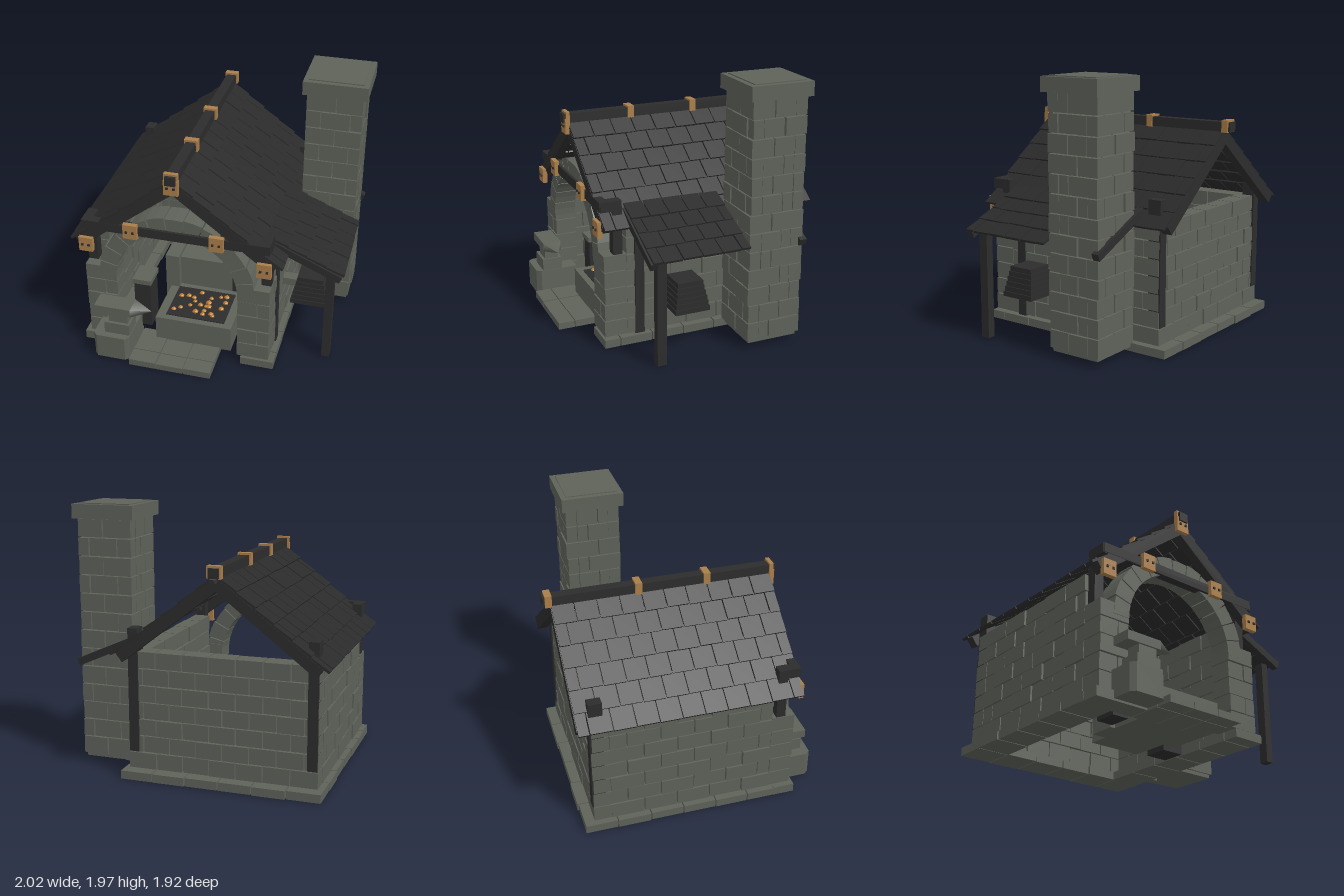
import * as THREE from 'three';
import { mergeGeometries } from 'three/addons/utils/BufferGeometryUtils.js';

const material = (name, color) => {
  const m = new THREE.MeshStandardMaterial({ color });
  m.name = name;
  return m;
};

export function createModel() {
  const root = new THREE.Group();
  root.name = 'smithy';
  const stone = material('grey stone', 0x5e6259);
  const wood = material('dark timber', 0x2c2c2c);
  const slate = material('black shingle', 0x2a2a2b);
  const bronze = material('bronze', 0xaa7e4a);
  const ember = material('ember', 0xb8792f);
  let seed = 7;
  const rand = () => (seed = (seed * 16807) % 2147483647) / 2147483647;

  const add = (name, geo, mat, parent = root) => {
    const m = new THREE.Mesh(geo, mat);
    m.name = name;
    parent.add(m);
    return m;
  };
  // Box geometry from its extents
  const ext = (x0, x1, y0, y1, z0, z1) =>
    new THREE.BoxGeometry(x1 - x0, y1 - y0, z1 - z0).translate((x0 + x1) / 2, (y0 + y1) / 2, (z0 + z1) / 2);
  const box = (name, mat, ...e) => add(name, ext(...e), mat);
  // Square beam between two points in the xy plane
  const beam = (name, x0, y0, x1, y1, h, z0, z1, mat = wood) => {
    const g = new THREE.BoxGeometry(Math.hypot(x1 - x0, y1 - y0), h, z1 - z0);
    g.rotateZ(Math.atan2(y1 - y0, x1 - x0)).translate((x0 + x1) / 2, (y0 + y1) / 2, (z0 + z1) / 2);
    return add(name, g, mat);
  };
  // Coursed brick wall filling a box; alongZ chooses the running direction
  const bricks = (name, x0, x1, y0, y1, z0, z1, rows, len, alongZ) => {
    const parts = [], gap = 0.004, h = (y1 - y0) / rows;
    const [a, b] = alongZ ? [z0, z1] : [x0, x1];
    for (let r = 0; r < rows; r++) {
      let s = a, e = a + (r % 2 ? len / 2 : len);
      while (s < b - 0.01) {
        if (e > b - len * 0.25) e = b;
        const ya = y0 + r * h + gap, yb = y0 + (r + 1) * h - gap, j = (rand() - 0.5) * 0.012;
        const p = s === a ? s : s + gap, q = e === b ? e : e - gap;
        parts.push(alongZ ? ext(x0 - j, x1 + j, ya, yb, p, q) : ext(p, q, ya, yb, z0 - j, z1 + j));
        s = e;
        e += len;
      }
    }
    return add(name, mergeGeometries(parts), stone);
  };

  // Plinth and walls
  bricks('plinthBack', -0.95, 0.54, 0, 0.07, -0.88, -0.63, 1, 0.25, false);
  bricks('plinthLeft', 0.29, 0.54, 0, 0.07, -0.63, 0.74, 1, 0.25, true);
  bricks('plinthRight', -0.95, -0.7, 0, 0.07, -0.63, 0.74, 1, 0.25, true);
  bricks('backWall', -0.91, 0.5, 0.07, 0.95, -0.8, -0.67, 7, 0.2, false);
  bricks('leftWall', 0.37, 0.5, 0.07, 0.95, -0.67, 0.55, 7, 0.25, true);
  bricks('rightWall', -0.91, -0.78, 0.07, 0.95, -0.67, 0.55, 7, 0.25, true);
  bricks('leftPillar', 0.26, 0.5, 0.07, 0.71, 0.55, 0.72, 5, 0.3, false);
  bricks('rightPillar', -0.91, -0.67, 0.07, 0.71, 0.55, 0.72, 5, 0.3, false);

  // Arch of wedge stones
  const arch = [], stones = 13;
  for (let i = 0; i < stones; i++) {
    const a = (i / stones) * Math.PI + 0.007, b = ((i + 1) / stones) * Math.PI - 0.007;
    const outer = 0.595 + (i % 2) * 0.008, s = new THREE.Shape();
    s.absarc(0, 0, outer, a, b, false);
    s.absarc(0, 0, 0.465, b, a, true);
    s.closePath();
    arch.push(new THREE.ExtrudeGeometry(s, { depth: 0.17, bevelEnabled: false, curveSegments: 1 }));
  }
  add('entranceArch', mergeGeometries(arch), stone).position.set(-0.205, 0.62, 0.555);

  // Chimney
  bricks('chimneyFront', 0.545, 0.96, 0.07, 1.86, -0.29, -0.2, 13, 0.22, false);
  bricks('chimneyBack', 0.545, 0.96, 0.07, 1.86, -0.62, -0.53, 13, 0.22, false);
  bricks('chimneyOuterSide', 0.87, 0.96, 0.07, 1.86, -0.53, -0.29, 13, 0.16, true);
  bricks('chimneyInnerSide', 0.545, 0.635, 0.07, 1.86, -0.53, -0.29, 13, 0.16, true);
  box('chimneyBottom', stone, 0.56, 0.945, 0.045, 0.075, -0.605, -0.215);
  box('chimneyCap', stone, 0.515, 0.995, 1.86, 1.965, -0.645, -0.168);
  box('chimneyCapPanel', stone, 0.555, 0.955, 1.96, 1.972, -0.605, -0.208);
  box('chimneyFoot', stone, 0.57, 0.64, 0.03, 0.05, -0.58, -0.5);

  // Sloping shingle field; local x runs down the slope
  const shingles = (name, parent, len, width, rows, cols, skip = -1) => {
    const parts = [], l = len / rows, w = width / cols;
    for (let r = 0; r < rows; r++) {
      for (let c = 0; c <= cols; c++) {
        if (r * 100 + c === skip) continue;
        let a = (c - (r % 2 ? 0.5 : 0)) * w, b = a + w;
        a = Math.max(a, 0);
        b = Math.min(b, width);
        if (b - a < 0.01) continue;
        const g = new THREE.BoxGeometry(l * 1.1 + rand() * 0.012, 0.018, b - a - 0.008);
        g.rotateZ(0.07).translate((r + 0.5) * l, 0.004 + rand() * 0.005, (a + b) / 2 - width / 2);
        parts.push(g);
      }
    }
    return add(name, mergeGeometries(parts), slate, parent);
  };

  // Main roof: two slopes with rafters, posts and brackets
  const ridgeX = -0.205, pitch = Math.atan2(0.61, 0.79);
  for (const side of [1, -1]) {
    const label = side > 0 ? 'left' : 'right';
    const half = new THREE.Group();
    half.name = label + 'RoofSlope';
    half.position.set(ridgeX, 1.535, -0.08);
    if (side < 0) half.rotation.y = Math.PI;
    root.add(half);
    shingles('mainShingles', half, 0.985, 1.65, 6, 10).rotation.z = -pitch;
    for (const [z0, z1] of [[0.67, 0.743], [-0.905, -0.83]])
      beam(label + 'Rafter', ridgeX, 1.485, ridgeX + side * 0.73, 0.92, 0.08, z0, z1);
    const px = ridgeX + side * 0.665;
    box(label + 'FrontPost', wood, px - 0.037, px + 0.037, 0.71, 1.115, 0.58, 0.65);
    box(label + 'BackPost', wood, px - 0.037, px + 0.037, 0.2, 1.115, -0.81, -0.71);
    box(label + 'BeamStub', wood, px - 0.037, px + 0.037, 1.04, 1.115, 0.58, 0.74);
  }
  box('ridgeBeam', wood, -0.243, -0.167, 1.53, 1.6, -0.96, 0.775);
  box('collarBeam', wood, -0.905, 0.49, 1.045, 1.115, 0.68, 0.745);

  // Bronze straps and riveted plates
  for (const z of [0.25, -0.265, -0.92])
    box('ridgeStrap', bronze, -0.256, -0.154, 1.525, 1.615, z - 0.025, z + 0.025);
  box('ridgeFrontStrap', bronze, -0.256, -0.154, 1.52, 1.615, 0.735, 0.765);
  box('ridgeBeamEnd', wood, -0.243, -0.167, 1.53, 1.6, 0.76, 0.785);
  const plate = (x, y) => {
    box('bracketPlate', bronze, x - 0.053, x + 0.053, y - 0.058, y + 0.058, 0.735, 0.772);
    for (const s of [-1, 1])
      box('rivet', wood, x + s * 0.025 - 0.008, x + s * 0.025 + 0.008, y - 0.008, y + 0.008, 0.77, 0.782);
  };
  for (const s of [-1, 1]) {
    plate(ridgeX + s * 0.32, 1.085);
    plate(ridgeX + s * 0.668, 0.92);
  }
  plate(ridgeX, 1.505);

  // Lean-to roof with its posts
  const leanTo = new THREE.Group();
  leanTo.name = 'leanToRoof';
  leanTo.position.set(0.44, 1.055, 0.18);
  leanTo.rotation.z = -Math.atan2(0.24, 0.54);
  root.add(leanTo);
  shingles('leanToShingles', leanTo, 0.6, 0.74, 4, 5, 205);
  beam('leanToFrontRafter', 0.45, 1.02, 0.98, 0.785, 0.055, 0.505, 0.56);
  beam('leanToBackRafter', 0.45, 1.02, 0.98, 0.785, 0.055, -0.645, -0.59);
  box('leanToPost', wood, 0.867, 0.928, 0, 0.8, 0.42, 0.49);
  for (const z of [0.455, -0.525])
    box('wallPost', wood, 0.45, 0.512, 0.01, 0.83, z - 0.035, z + 0.035);

  // Stepped hanging hood under the lean-to
  for (let i = 0; i < 6; i++) {
    const w = 0.142 - i * 0.0085, d = 0.133 - i * 0.007, y = 0.33 + i * 0.037;
    box('hoodTier', wood, 0.722 - w, 0.722 + w, y, y + 0.0375, 0.19 - d, 0.19 + d);
  }
  box('hoodBracket', stone, 0.49, 0.63, 0.425, 0.485, 0.15, 0.23);

  // Hearth with coals, back blocks and bins
  box('hearth', stone, -0.4, 0.195, 0.04, 0.25, 0.2, 0.66);
  box('coalBed', wood, -0.33, 0.13, 0.245, 0.257, 0.25, 0.61);
  for (let i = 0; i < 22; i++) {
    const r = 0.018 + rand() * 0.008;
    const c = add('coal', new THREE.IcosahedronGeometry(r, 0), ember);
    c.position.set(-0.3 + rand() * 0.39, 0.26, 0.28 + rand() * 0.3);
    c.scale.y = 0.7;
  }
  box('hearthBack', stone, -0.33, 0.09, 0.04, 0.51, -0.1, 0.2);
  box('hearthShoulder', stone, -0.44, -0.33, 0.04, 0.54, 0.05, 0.25);
  box('quenchBin', wood, 0.09, 0.265, 0, 0.46, 0.02, 0.2);
  box('storageBin', wood, -0.62, -0.49, 0.02, 0.42, 0.33, 0.5);
  box('storageBinTop', stone, -0.63, -0.48, 0.42, 0.46, 0.32, 0.51);

  // Entrance paving
  for (let i = 0; i < 3; i++)
    for (const [z0, z1] of [[0.58, 0.828], [0.834, 0.958]])
      box('pavingStone', stone, -0.523 + i * 0.213, -0.316 + i * 0.213, 0, 0.052 - (i % 2) * 0.004, z0, z1);

  // Anvil on its block
  box('anvilPlinth', stone, -0.95, -0.53, 0, 0.07, 0.58, 0.745);
  const blockShape = new THREE.Shape([[-0.81, 0.6], [-0.53, 0.6], [-0.53, 0.9], [-0.56, 0.935], [-0.78, 0.935], [-0.81, 0.9]]
    .map(([x, z]) => new THREE.Vector2(x, -z)));
  const block = new THREE.ExtrudeGeometry(blockShape, { depth: 0.2, bevelEnabled: false }).rotateX(-Math.PI / 2);
  add('anvilBlock', block, stone).position.y = 0.015;
  box('anvilFoot', stone, -0.73, -0.535, 0.215, 0.31, 0.725, 0.882);
  box('anvilWaist', stone, -0.7, -0.55, 0.31, 0.385, 0.75, 0.86);
  box('anvilTop', stone, -0.805, -0.525, 0.385, 0.45, 0.73, 0.875);
  const horn = new THREE.ConeGeometry(0.09, 0.15, 4, 1).rotateY(Math.PI / 4).rotateZ(-Math.PI / 2);
  horn.scale(1, 0.5, 1.1).translate(-0.45, 0.418, 0.803);
  add('anvilHorn', horn.toNonIndexed(), stone);

  return root;
}
